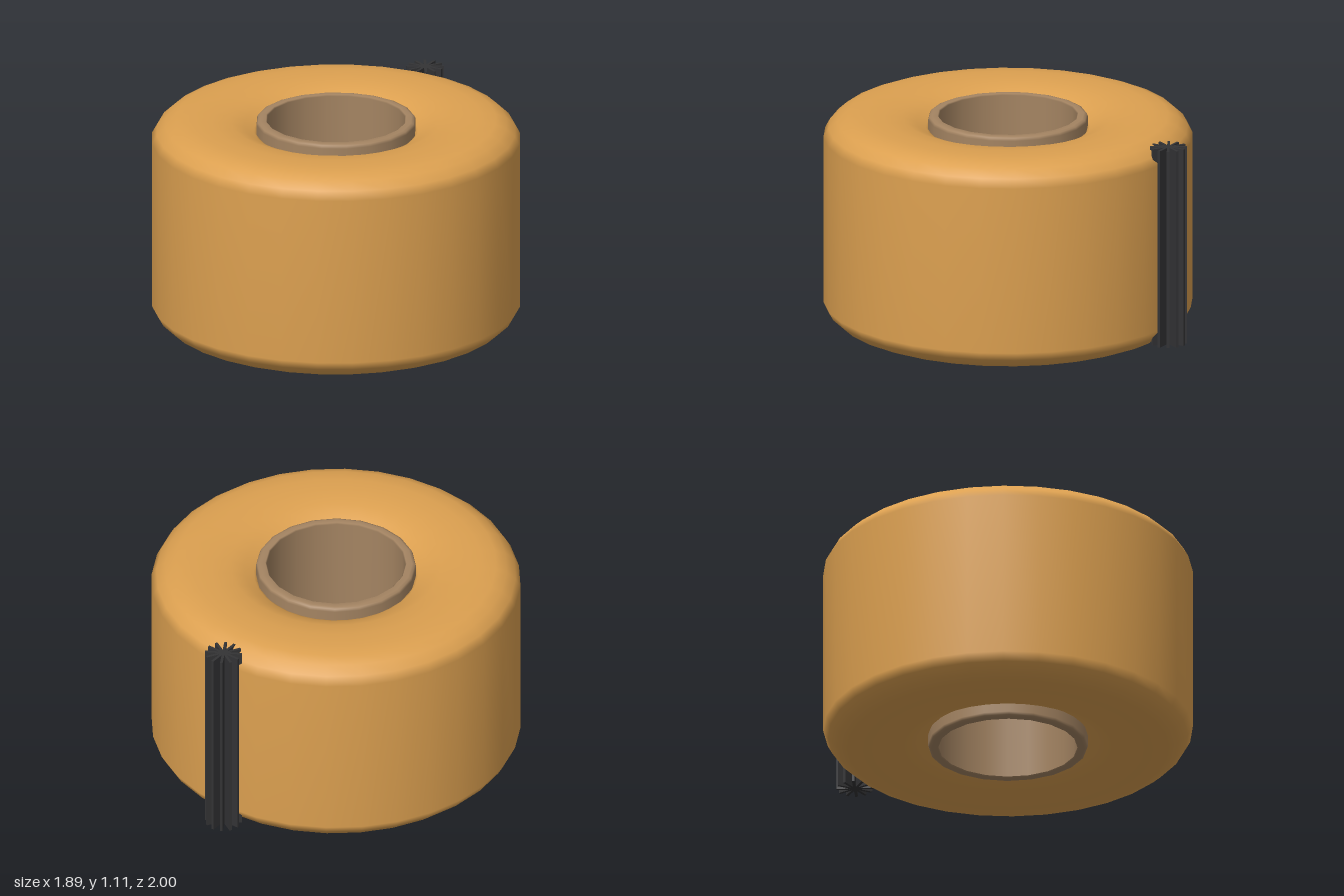
import * as THREE from 'three';

const material = (name, color) => {
  const m = new THREE.MeshStandardMaterial({ color });
  m.name = name;
  return m;
};

export function createModel() {
  const group = new THREE.Group();
  group.name = 'roll';
  const amber = material('amber', 0xdca050);
  const cardboard = material('cardboard', 0xa48462);
  const charcoal = material('charcoal', 0x333335);

  const height = 1.11;
  const centerZ = 0.054;

  // Revolves a lower half-profile mirrored about mid-height, closed on the inside
  const revolve = (name, half, segments, mat) => {
    const upper = half.map(([r, y]) => [r, height - y]).reverse();
    const loop = [...half, ...upper, half[0]];
    const geometry = new THREE.LatheGeometry(loop.map(([r, y]) => new THREE.Vector2(r, y)), segments);
    const mesh = new THREE.Mesh(geometry, mat);
    mesh.name = name;
    mesh.position.z = centerZ;
    group.add(mesh);
  };

  // Wound body: rounded shoulders, dipping towards the core
  revolve('woundBody', [
    [0.385, 0.09], [0.42, 0.07], [0.47, 0.04], [0.54, 0.014], [0.64, 0.003], [0.74, 0.001],
    [0.82, 0.008], [0.875, 0.03], [0.92, 0.07], [0.945, 0.115],
  ], 32, amber);

  // Hollow core with small bevels on its rims
  revolve('coreTube', [
    [0.355, 0.012], [0.361, 0.005], [0.39, 0.005], [0.404, 0.01], [0.41, 0.024],
  ], 20, cardboard);

  // Star-section rod on the back, made of crossing blades
  const rod = new THREE.Group();
  rod.name = 'starRod';
  rod.position.set(0, 0.56, -0.905);
  const blade = new THREE.BoxGeometry(0.19, 1.05, 0.014);
  for (let i = 0; i < 6; i++) {
    const mesh = new THREE.Mesh(blade, charcoal);
    mesh.name = 'rodBlade';
    mesh.rotation.y = (i * Math.PI) / 6;
    rod.add(mesh);
  }
  group.add(rod);

  return group;
}
